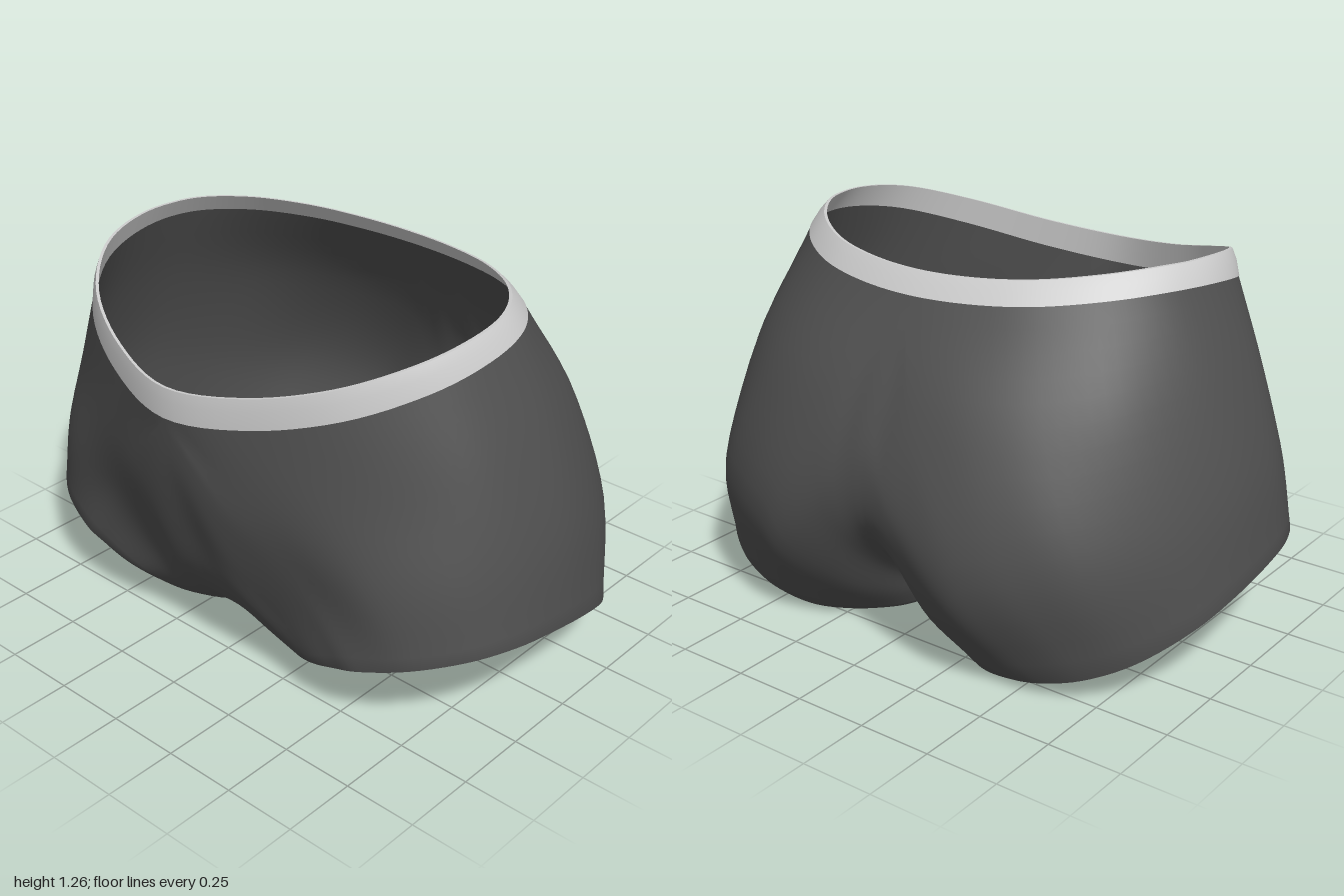
import * as THREE from 'three';
import { mergeVertices } from 'three/addons/utils/BufferGeometryUtils.js';

const V = (x, y, z) => new THREE.Vector3(x, y, z);
const points = (list) => list.map((p) => V(...p));
const mirror = (p) => V(-p.x, p.y, p.z);
const spline = (pts, closed) => new THREE.CatmullRomCurve3(pts, closed, 'catmullrom', 0.5);
const SUB = 5; // samples between neighbouring control ribs
const ROWS = 16; // rows from waist or centre seam to leg opening

// Half waistline (band's lower edge), front centre to back centre
const waist = points([
  [0, 0.968, 0.733], [0.28, 1.0, 0.665], [0.53, 1.068, 0.535], [0.695, 1.14, 0.345], [0.748, 1.182, 0.135],
  [0.715, 1.197, -0.065], [0.595, 1.187, -0.24], [0.415, 1.168, -0.37], [0.215, 1.155, -0.437], [0, 1.15, -0.46],
]);
// Centre seam, from below the back waist through the crotch and up the front
const seam = points([
  [0, 0.9, -0.61], [0, 0.68, -0.697], [0, 0.48, -0.69], [0, 0.33, -0.58], [0, 0.21, -0.4], [0, 0.135, -0.17],
  [0, 0.098, 0.08], [0, 0.12, 0.3], [0, 0.18, 0.475], [0, 0.32, 0.578], [0, 0.52, 0.642], [0, 0.76, 0.706],
]);
// Two rings around the hip, one rib point per waist and seam point
const upperHip = points([
  [0.24, 0.72, 0.672], [0.5, 0.765, 0.59], [0.7, 0.805, 0.46], [0.825, 0.88, 0.295], [0.865, 0.9, 0.11],
  [0.845, 0.9, -0.1], [0.735, 0.87, -0.345], [0.56, 0.84, -0.52], [0.36, 0.83, -0.617], [0.18, 0.8, -0.658],
  [0.135, 0.63, -0.71], [0.12, 0.5, -0.714], [0.09, 0.375, -0.665], [0.07, 0.26, -0.55], [0.056, 0.16, -0.39],
  [0.046, 0.108, -0.17], [0.042, 0.088, 0.08], [0.055, 0.108, 0.3], [0.085, 0.165, 0.465], [0.11, 0.287, 0.565],
  [0.13, 0.455, 0.63], [0.155, 0.615, 0.672],
]);
const lowerHip = points([
  [0.455, 0.47, 0.58], [0.655, 0.52, 0.553], [0.825, 0.56, 0.43], [0.925, 0.6, 0.265], [0.957, 0.61, 0.09],
  [0.945, 0.59, -0.11], [0.87, 0.525, -0.34], [0.72, 0.47, -0.56], [0.55, 0.445, -0.672], [0.405, 0.41, -0.724],
  [0.335, 0.315, -0.718], [0.25, 0.24, -0.67], [0.18, 0.17, -0.602], [0.13, 0.118, -0.5], [0.087, 0.072, -0.36],
  [0.061, 0.05, -0.15], [0.061, 0.048, 0.08], [0.1, 0.07, 0.3], [0.16, 0.118, 0.447], [0.22, 0.2, 0.527],
  [0.285, 0.3, 0.557], [0.365, 0.395, 0.576],
]);
// Leg opening
const legEdge = points([
  [0.625, 0.25, 0.56], [0.775, 0.297, 0.507], [0.905, 0.33, 0.39], [0.977, 0.338, 0.24], [1, 0.325, 0.08],
  [0.99, 0.285, -0.1], [0.945, 0.225, -0.275], [0.84, 0.145, -0.425], [0.71, 0.085, -0.515], [0.57, 0.045, -0.555],
  [0.45, 0.025, -0.56], [0.35, 0.012, -0.54], [0.26, 0.006, -0.49], [0.18, 0.003, -0.42], [0.115, 0, -0.32],
  [0.072, 0, -0.13], [0.072, 0.002, 0.09], [0.135, 0.03, 0.295], [0.235, 0.083, 0.435], [0.335, 0.138, 0.512],
  [0.43, 0.177, 0.548], [0.525, 0.214, 0.56],
]);
const legCentre = V(0.5, 0.17, 0);

// Full waist loop, running front, left, back, right
const waistLoop = spline([...waist, ...waist.slice(1, -1).reverse().map(mirror)], true);

// Skin a list of closed rows (top to bottom) into indexed positions
function addRows(rows, position, index, flip) {
  const base = position.length / 3, n = rows[0].length;
  for (const row of rows) for (const p of row) position.push(p.x, p.y, p.z);
  for (let r = 0; r < rows.length - 1; r++) {
    for (let i = 0; i < n; i++) {
      const a = base + r * n + i, b = base + r * n + ((i + 1) % n), c = a + n, d = b + n;
      if (flip) index.push(a, b, c, b, d, c);
      else index.push(a, c, b, b, c, d);
    }
  }
}

function toMesh(name, position, index, color) {
  let g = new THREE.BufferGeometry();
  g.setAttribute('position', new THREE.Float32BufferAttribute(position, 3));
  g.setIndex(index);
  g = mergeVertices(g, 1e-4);
  g.computeVertexNormals();
  const mesh = new THREE.Mesh(g, new THREE.MeshStandardMaterial({ color, side: THREE.DoubleSide }));
  mesh.name = name;
  return mesh;
}

// One half of the body, as ribs running down to the leg opening and into a small folded hem
function halfRows() {
  const waistSegs = waist.length - 1, seamSegs = seam.length + 1, total = waistSegs + seamSegs;
  const seamCurve = spline([waist[waistSegs], ...seam, waist[0]], false);
  const rings = [upperHip, lowerHip, legEdge].map((r) => spline(r, true));
  const rows = Array.from({ length: ROWS + 3 }, () => []);
  for (let i = 0; i < total * SUB; i++) {
    const u = i / SUB, onSeam = u > waistSegs;
    const start = onSeam ? seamCurve.getPoint((u - waistSegs) / seamSegs) : waistLoop.getPoint(u / (2 * waistSegs));
    const [m1, m2, end] = rings.map((c) => c.getPoint(u / total));
    // Lead-in point: mirrored at the seam so both halves meet smoothly
    const lead = onSeam ? mirror(m1) : start.clone().multiplyScalar(2).sub(m1);
    const rib = spline([lead, start, m1, m2, end], false);
    for (let r = 0; r <= ROWS; r++) rows[r].push(rib.getPoint(0.25 + 0.75 * r / ROWS));
    rows[ROWS + 1].push(end.clone().lerp(legCentre, 0.02));
    rows[ROWS + 2].push(rib.getPoint(0.97).lerp(legCentre, 0.018));
  }
  return rows;
}

function makeBody() {
  const position = [], index = [], rows = halfRows();
  addRows(rows, position, index, false);
  addRows(rows.map((row) => row.map(mirror)), position, index, true);
  return toMesh('body', position, index, 0x505050);
}

// Waistband: gently rounded outer face, rim and inner face
function makeWaistband() {
  const N = 108, [low, mid, top, rim, inner] = Array.from({ length: 5 }, () => []);
  const inset = (p, d) => V(p.x * (1 - d), p.y, 0.13 + (p.z - 0.13) * (1 - d));
  for (let i = 0; i < N; i++) {
    const p = waistLoop.getPoint(i / N);
    const rise = 0.066 + 0.034 * Math.max(0, p.z / 0.733);
    const t = V(p.x * 0.95, p.y + rise, 0.728 - (0.733 - p.z) * 0.953);
    low.push(inset(p, -0.003));
    mid.push(inset(p.clone().lerp(t, 0.6), -0.007));
    top.push(t);
    rim.push(inset(t, 0.015));
    inner.push(inset(p, 0.015));
  }
  // Each face is skinned separately to keep the rim edges crisp
  const faces = { bandOuterFace: [top, mid, low], bandRim: [rim, top], bandInnerFace: [inner, rim] };
  const band = new THREE.Group();
  band.name = 'waistband';
  for (const [name, rows] of Object.entries(faces)) {
    const position = [], index = [];
    addRows(rows, position, index, false);
    band.add(toMesh(name, position, index, 0xcccccc));
  }
  return band;
}

export function createModel() {
  const model = new THREE.Group();
  model.name = 'shorts';
  model.add(makeBody(), makeWaistband());
  return model;
}
